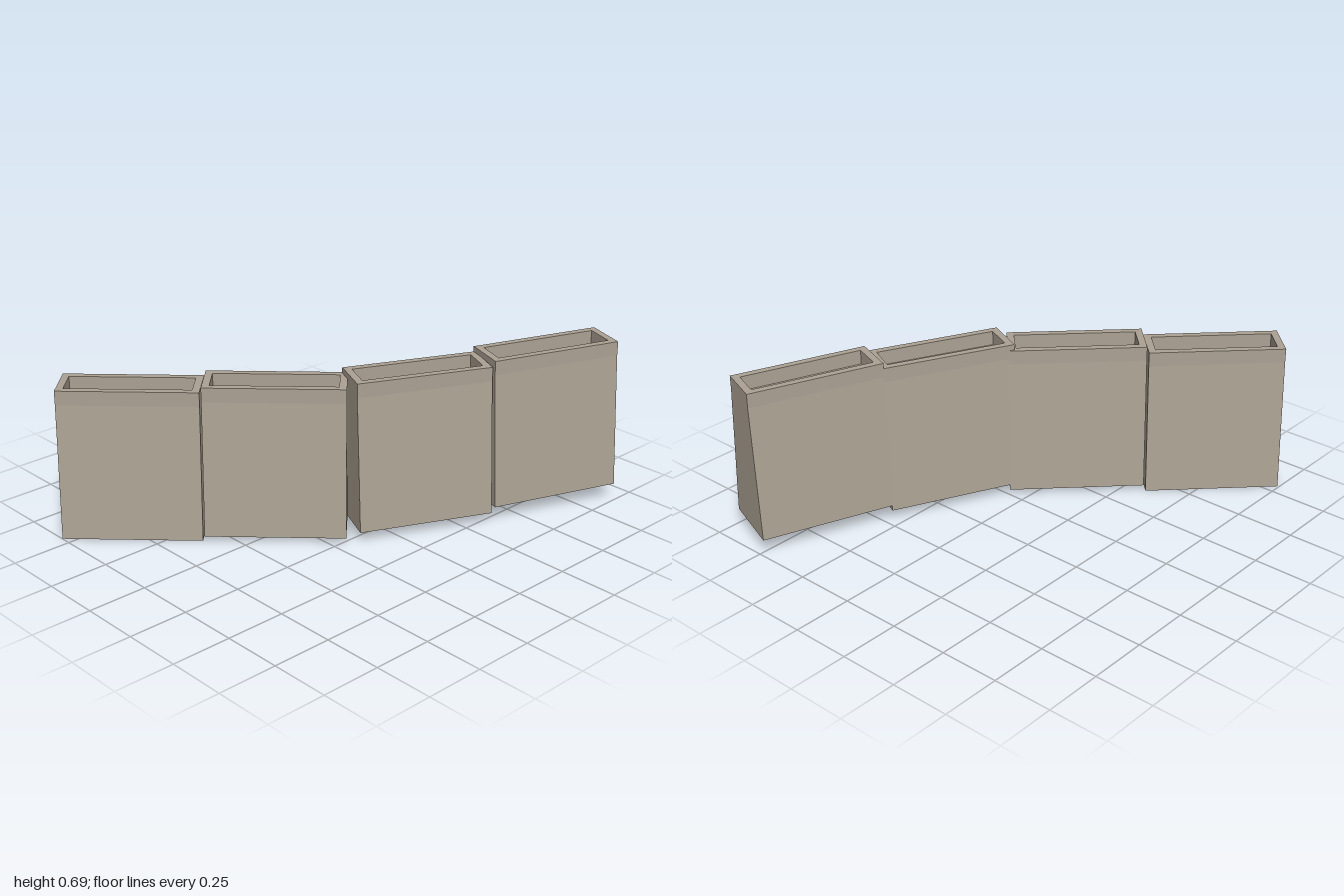
import * as THREE from 'three';

const LENGTH = 0.565, BASE = 0.28, TOP = 0.185; // plan sizes of one wall block
const BODY = 0.56, RIM = 0.06, EDGE = 0.03; // body height, rim height, rim thickness

// centre x, base height, centre z, heading in degrees
const BLOCKS = [
  [-0.7, 0, -0.444, 45],
  [-0.3, 0.023, -0.034, 45],
  [0.158, 0.047, 0.295, 25],
  [0.682, 0.07, 0.512, 20],
];

// Rectangle centred on the origin
function rectangle(PathType, w, h) {
  return new PathType([
    new THREE.Vector2(-w / 2, -h / 2),
    new THREE.Vector2(w / 2, -h / 2),
    new THREE.Vector2(w / 2, h / 2),
    new THREE.Vector2(-w / 2, h / 2),
  ]);
}

// Body: a trapezoid cross-section swept along the block
function bodyGeometry() {
  const profile = new THREE.Shape([
    new THREE.Vector2(-BASE / 2, 0),
    new THREE.Vector2(BASE / 2, 0),
    new THREE.Vector2(TOP / 2, BODY),
    new THREE.Vector2(-TOP / 2, BODY),
  ]);
  const geometry = new THREE.ExtrudeGeometry(profile, { depth: LENGTH, bevelEnabled: false });
  return geometry.translate(0, 0, -LENGTH / 2).rotateY(Math.PI / 2);
}

// Rim: a rectangular frame around the shallow top recess
function rimGeometry() {
  const frame = rectangle(THREE.Shape, LENGTH, TOP);
  frame.holes.push(rectangle(THREE.Path, LENGTH - 2 * EDGE, TOP - 2 * EDGE));
  const geometry = new THREE.ExtrudeGeometry(frame, { depth: RIM, bevelEnabled: false });
  return geometry.rotateX(-Math.PI / 2).translate(0, BODY, 0);
}

export function createModel() {
  const stone = new THREE.MeshStandardMaterial({ color: 0xaca294 });
  stone.name = 'stone';

  const body = bodyGeometry();
  const rim = rimGeometry();
  const model = new THREE.Group();
  model.name = 'steppedCurvedWall';

  // Blocks stepping up along the curve
  BLOCKS.forEach(([x, y, z, heading], i) => {
    const block = new THREE.Group();
    block.name = `wallBlock${i + 1}`;
    for (const [name, geometry] of [['blockBody', body], ['blockRim', rim]]) {
      const mesh = new THREE.Mesh(geometry, stone);
      mesh.name = name;
      block.add(mesh);
    }
    block.position.set(x, y, z);
    block.rotation.y = -THREE.MathUtils.degToRad(heading);
    model.add(block);
  });
  return model;
}
